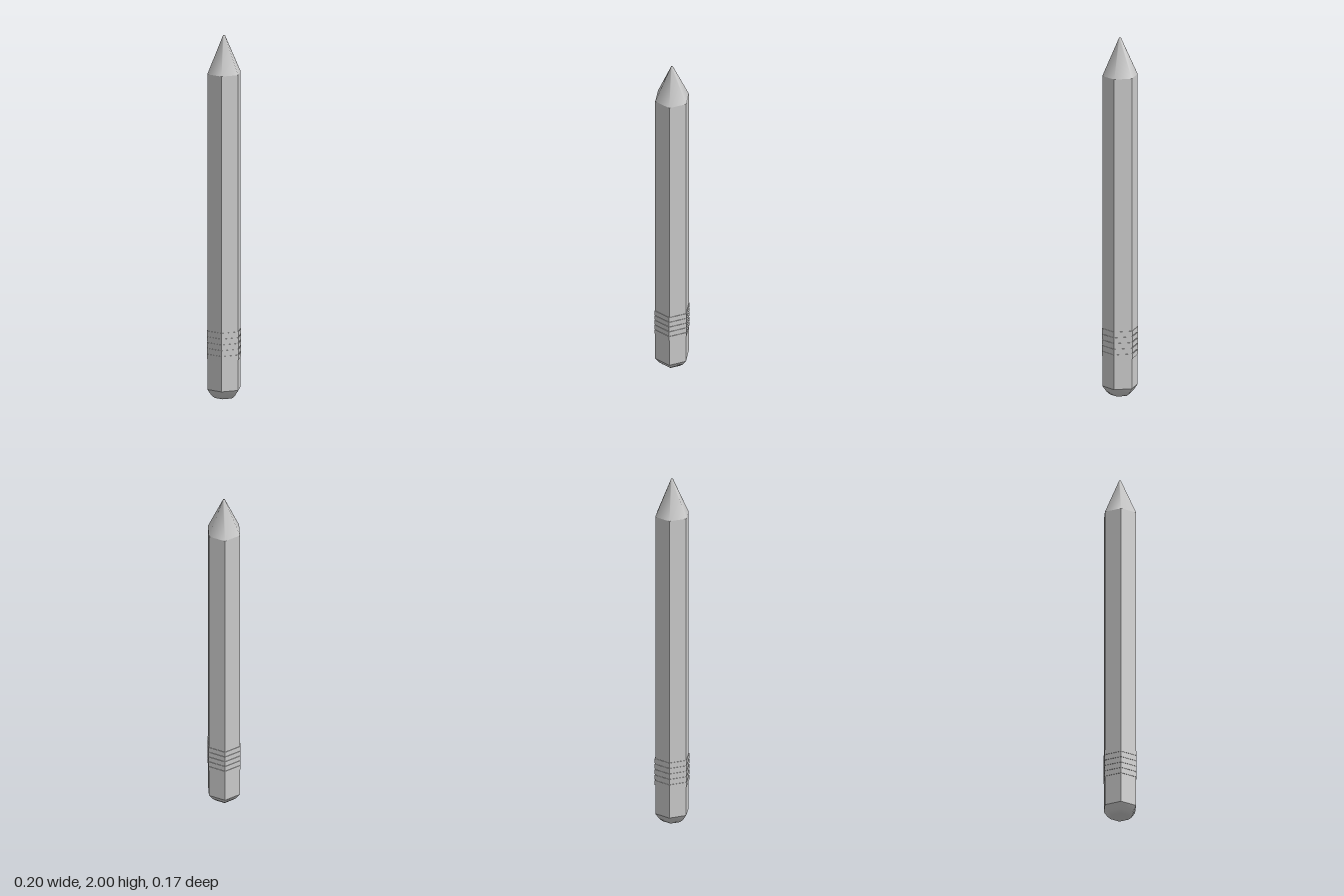
import * as THREE from 'three';

const SIDES = 6, START = Math.PI / 6; // corners point along x

export function createModel() {
  const group = new THREE.Group();
  const flat = new THREE.MeshStandardMaterial({ color: 0xcccccc, flatShading: true });
  const smooth = new THREE.MeshStandardMaterial({ color: 0xcccccc });

  const add = (name, geometry, material, y = 0) => {
    const mesh = new THREE.Mesh(geometry, material);
    mesh.name = name;
    mesh.position.y = y;
    group.add(mesh);
  };
  const prism = (r, h) => new THREE.CylinderGeometry(r, r, h, SIDES, 1, false, START);
  const lathe = (pts) => new THREE.LatheGeometry(
    pts.map(([r, y]) => new THREE.Vector2(r, y)), SIDES, START);

  // Hexagonal shaft
  add('shaft', prism(0.097, 1.74), flat, 0.92);

  // Sharpened tip with a slightly blunt point
  add('tip', lathe([[0.097, 1.79], [0.009, 1.99], [0.006, 1.998], [0, 2]]), smooth);

  // Rounded eraser end
  add('eraser', lathe([[0, 0], [0.055, 0], [0.075, 0.018], [0.097, 0.05]]), smooth);

  // Ferrule: five thin raised bands
  const pitch = 0.032;
  for (let i = 0; i < 5; i++) {
    add('ferruleBand' + (i + 1), prism(0.1, 0.027), flat, 0.232 + i * pitch);
  }

  return group;
}
